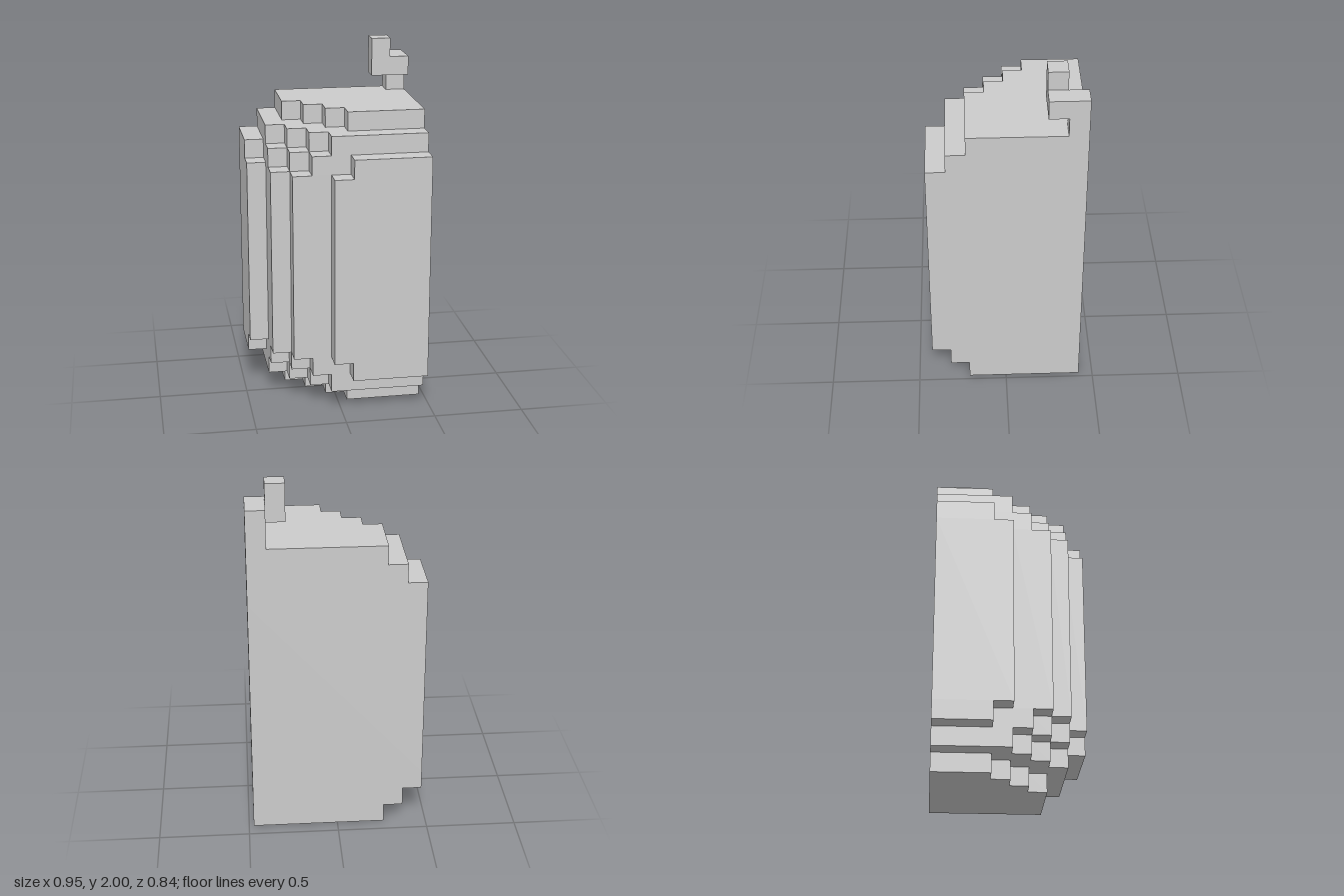
import * as THREE from 'three';

const U = 2 / 19; // one block; the model is 9 x 19 x 8 blocks
const material = new THREE.MeshStandardMaterial({ color: 0xcccccc, flatShading: true });

// Stepped outlines: each [x, z] means rows up to z begin at column x; all end at column 9
const full = [[0, 4], [1, 6], [2, 7], [4, 8]];
const shoulder = [[0, 3], [1, 5], [2, 6], [3, 7], [5, 8]];
const slope = [[1, 4], [2, 5], [3, 6], [4, 7]];
const cap = [[2, 3], [3, 4], [4, 5], [5, 6]];

// Extrude one stepped outline from block height y0 to y1
function layer(name, steps, y0, y1) {
  const pts = [];
  const add = (x, z) => pts.push(new THREE.Vector2((x - 4.5) * U, (4 - z) * U));
  let z0 = 0;
  for (const [x, z] of steps) {
    add(x, z0);
    add(x, z);
    z0 = z;
  }
  add(9, z0);
  add(9, 0);
  const geo = new THREE.ExtrudeGeometry(new THREE.Shape(pts), { depth: (y1 - y0) * U, bevelEnabled: false });
  geo.rotateX(-Math.PI / 2);
  geo.translate(0, y0 * U, 0);
  const mesh = new THREE.Mesh(geo, material);
  mesh.name = name;
  return mesh;
}

// Box of w x h x d blocks with its low corner at block x, y, z
function block(name, x, y, z, w, h, d) {
  const mesh = new THREE.Mesh(new THREE.BoxGeometry(w * U, h * U, d * U), material);
  mesh.position.set((x + w / 2 - 4.5) * U, (y + h / 2) * U, (z + d / 2 - 4) * U);
  mesh.name = name;
  return mesh;
}

export function createModel() {
  const model = new THREE.Group();
  model.name = 'blockQuarter';

  // Body: straight middle with matching stepped layers above and below
  const body = new THREE.Group();
  body.name = 'body';
  body.add(layer('middle', full, 3, 13));
  [cap, slope, shoulder].forEach((steps, i) => {
    const n = ['Cap', 'Slope', 'Shoulder'][i];
    body.add(layer('lower' + n, steps, i, i + 1));
    body.add(layer('upper' + n, steps, 15 - i, 16 - i));
  });

  // Hooked stem in the back corner
  const stem = new THREE.Group();
  stem.name = 'stem';
  stem.add(
    block('stemPost', 8, 16, 0, 1, 2, 1),
    block('stemBridge', 8, 17, 1, 1, 1, 1),
    block('stemTip', 7, 17, 1, 1, 2, 1)
  );

  model.add(body, stem);
  return model;
}
